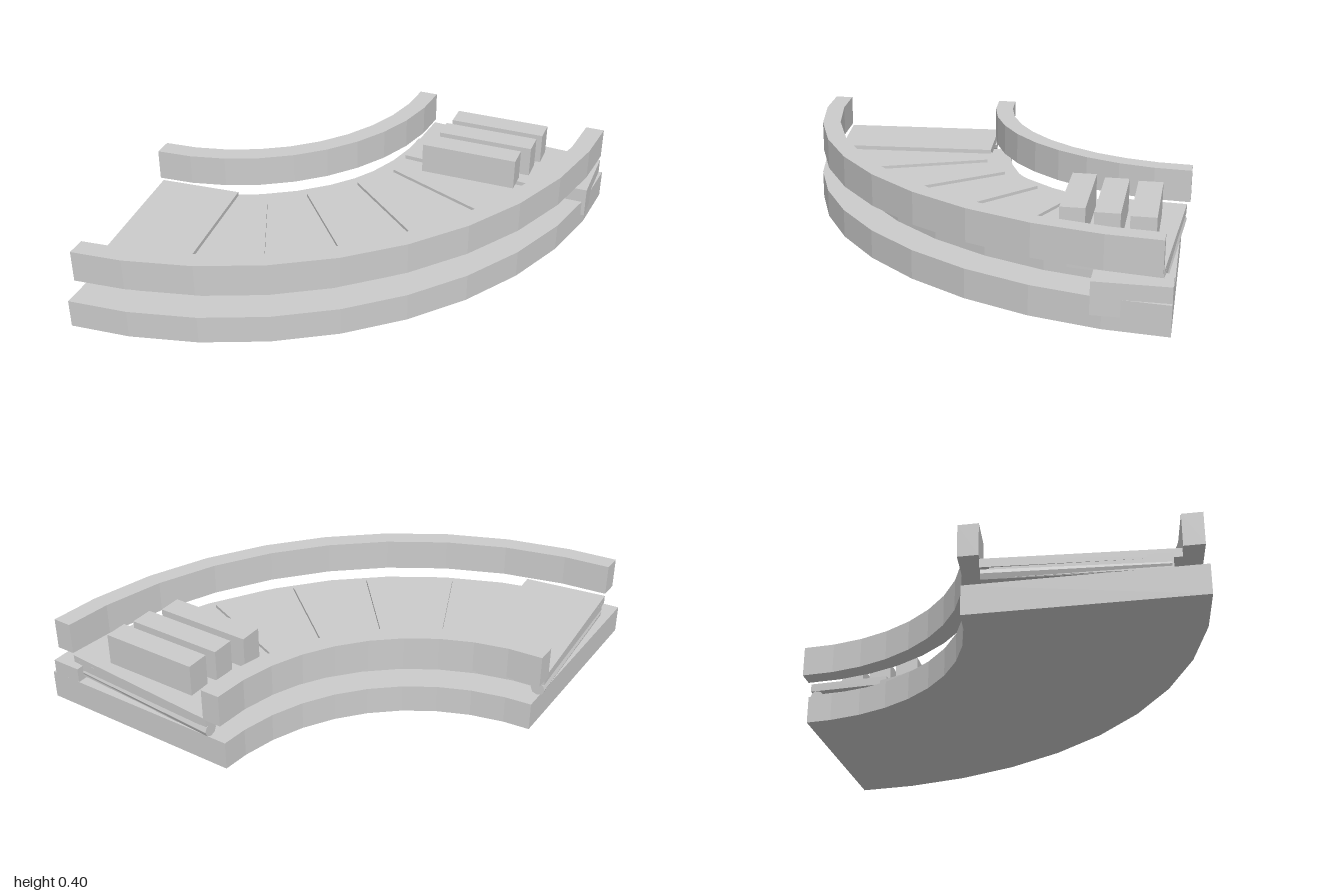
import * as THREE from 'three';

const material = new THREE.MeshStandardMaterial({ color: 0xcccccc, flatShading: true });
const rad = THREE.MathUtils.degToRad;

// Point [x, z] on an arc around the bend centre at (-1, -1)
const polar = (r, deg) => [-1 + r * Math.cos(rad(deg)), -1 + r * Math.sin(rad(deg))];

// Flat slab from an outline of [x, z] points between two heights
function slab(name, points, y0, y1) {
  const shape = new THREE.Shape(points.map(([x, z]) => new THREE.Vector2(x, -z)));
  const geometry = new THREE.ExtrudeGeometry(shape, { depth: y1 - y0, bevelEnabled: false });
  geometry.rotateX(-Math.PI / 2).translate(0, y0, 0);
  const mesh = new THREE.Mesh(geometry, material);
  mesh.name = name;
  return mesh;
}

// Faceted quarter bend; each edge has its own start angle, symmetric about 45 degrees
function bend(name, rIn, rOut, startIn, startOut, y0, y1) {
  const arc = (r, start) => {
    const angles = [start];
    for (let a = 9; a <= 81; a += 9) if (a > start + 1 && a < 89 - start) angles.push(a);
    angles.push(90 - start);
    return angles.map((a) => polar(r, a));
  };
  return slab(name, [...arc(rOut, startOut), ...arc(rIn, startIn).reverse()], y0, y1);
}

function box(name, x0, x1, y0, y1, z0, z1) {
  const mesh = new THREE.Mesh(new THREE.BoxGeometry(x1 - x0, y1 - y0, z1 - z0), material);
  mesh.position.set((x0 + x1) / 2, (y0 + y1) / 2, (z0 + z1) / 2);
  mesh.name = name;
  return mesh;
}

// Bar or roller laid between two [x, z] points
function span(name, geometry, [x0, z0], [x1, z1], y) {
  const mesh = new THREE.Mesh(geometry, material);
  mesh.position.set((x0 + x1) / 2, y, (z0 + z1) / 2);
  mesh.rotation.y = Math.atan2(z0 - z1, x1 - x0);
  mesh.name = name;
  return mesh;
}

export function createModel() {
  const group = new THREE.Group();
  group.name = 'curvedConveyor';

  // Base, belt and the two side rails
  group.add(
    bend('base', 1.0, 2.0, 2, 1, 0, 0.135),
    bend('belt', 1.12, 1.86, 1.2, 2.2, 0.15, 0.22),
    bend('innerRail', 0.99, 1.08, 0, 0, 0.25, 0.4),
    bend('outerRail', 1.9, 1.99, 2.3, 2.2, 0.25, 0.4),
  );

  // End plates and end rollers, mirrored by swapping x and z
  const plate = [[0.08, -0.985], [0.05, -0.59], [0.84, -0.53], [0.895, -0.925]];
  const rollerEnds = [[0.08, -0.955], [0.85, -0.9]];
  for (const side of ['right', 'left']) {
    const place = ([x, z]) => (side === 'right' ? [x, z] : [z, x]);
    group.add(slab(side + 'EndPlate', plate.map(place), 0.2, 0.24));
    const roller = new THREE.CylinderGeometry(0.033, 0.033, 0.77, 8).rotateZ(Math.PI / 2);
    group.add(span(side + 'EndRoller', roller, ...rollerEnds.map(place), 0.17));
  }

  // Slats across the belt
  const slats = [[[0.045, -0.45], [0.63, -0.2]], [[-0.075, -0.265], [0.41, 0.145]]];
  for (const [a, b] of slats) {
    const length = Math.hypot(b[0] - a[0], b[1] - a[1]);
    for (const ends of [[a, b], [[a[1], a[0]], [b[1], b[0]]]]) {
      group.add(span('beltSlat', new THREE.BoxGeometry(length, 0.095, 0.027), ...ends, 0.187));
    }
  }

  // Blocks resting on the right end plate
  for (const [x, z] of [[0.24, -0.88], [0.22, -0.73], [0.18, -0.58]]) {
    group.add(box('cargoBlock', x, x + 0.47, 0.24, 0.39, z, z + 0.11));
  }

  // Drive housing at the outer corner
  group.add(box('driveHousing', 0.84, 0.982, 0.06, 0.205, -0.965, -0.64));
  return group;
}
